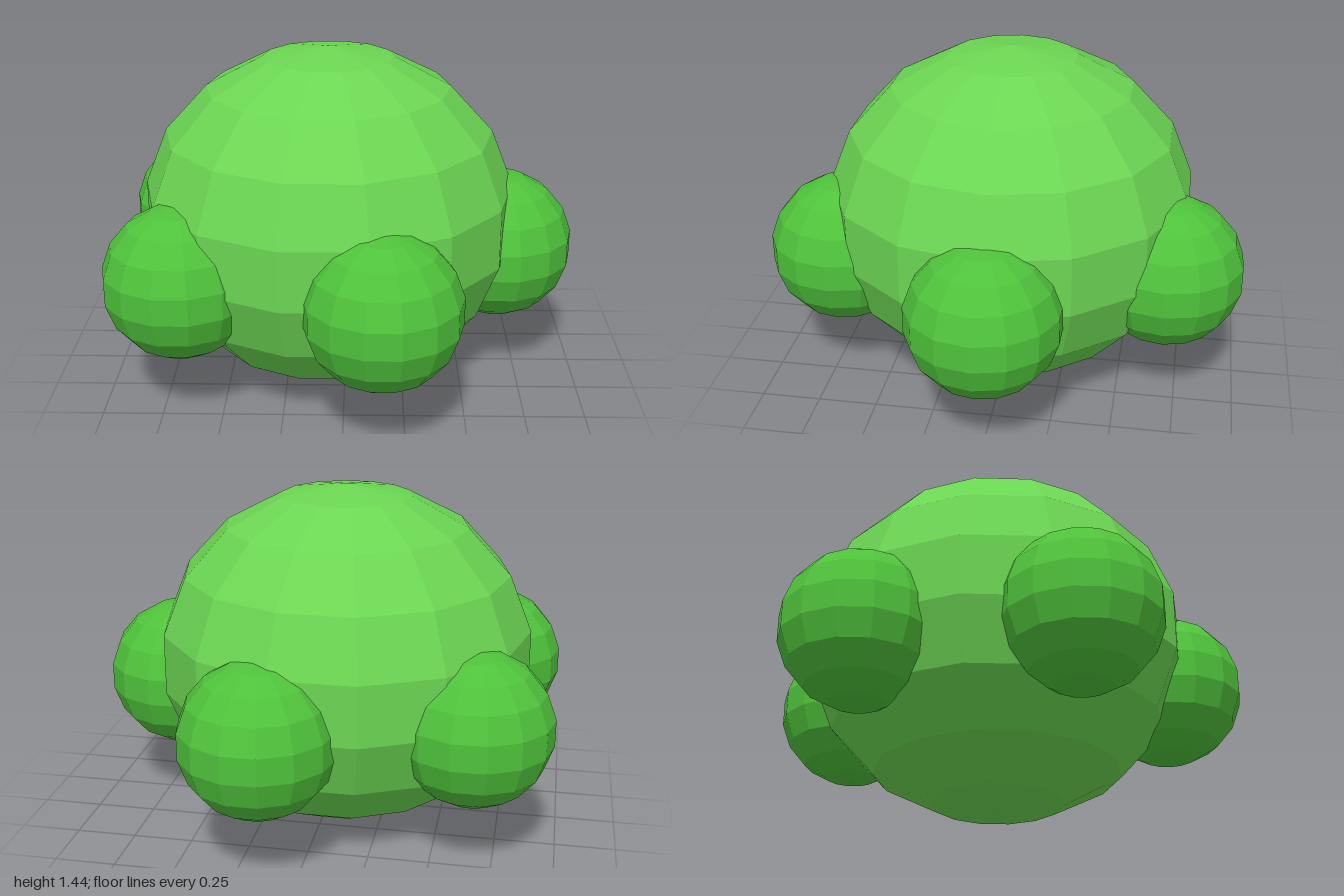
import * as THREE from 'three';

const CENTER_X = -0.07;

export function createModel() {
  const model = new THREE.Group();
  model.name = 'bush';

  const lightLeaf = new THREE.MeshStandardMaterial({ color: 0x6cd653, flatShading: true });
  lightLeaf.name = 'light leaf green';
  const darkLeaf = new THREE.MeshStandardMaterial({ color: 0x4fc23b, flatShading: true });
  darkLeaf.name = 'deep leaf green';

  // Faceted ball shared by all the clumps
  const ball = new THREE.SphereGeometry(1, 14, 9);

  function addClump(name, material, position, scale) {
    const mesh = new THREE.Mesh(ball, material);
    mesh.name = name;
    mesh.position.set(...position);
    mesh.scale.set(...scale);
    model.add(mesh);
  }

  // Large, slightly squashed main crown
  addClump('crown', lightLeaf, [CENTER_X, 0.722, 0], [0.794, 0.722, 0.794]);

  // Five small clumps evenly spaced around the crown
  const ring = 0.728;
  for (let i = 0; i < 5; i++) {
    const a = (i / 5) * Math.PI * 2;
    addClump(
      `sideClump${i + 1}`,
      darkLeaf,
      [CENTER_X + Math.cos(a) * ring, 0.578, Math.sin(a) * ring],
      [0.32, 0.32, 0.32]
    );
  }

  return model;
}
